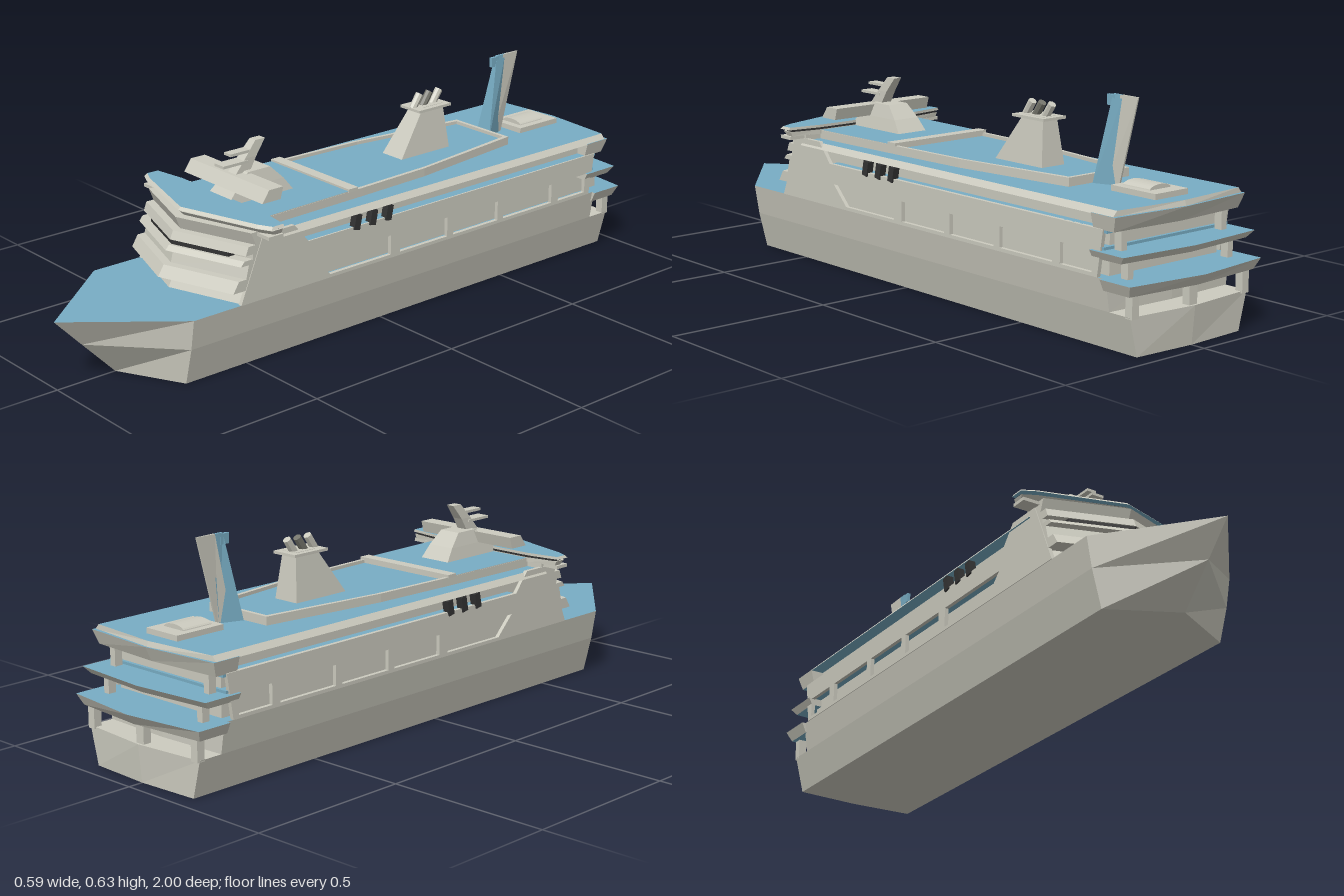
import * as THREE from 'three';

const mat = (color) => new THREE.MeshStandardMaterial({ color, flatShading: true, side: THREE.DoubleSide });
const grey = mat(0xcccbbf), blue = mat(0x78adc4), dark = mat(0x333333), shade = mat(0x77776e);

// mirror a half outline (front to back, x >= 0) into a closed ring at height y
function ring(y, half) {
  const left = half.filter((p) => p[0] > 0).reverse().map(([x, z]) => [-x, y, z]);
  return left.concat(half.map(([x, z]) => [x, y, z]));
}
const rectRing = (y, w, zFront, zBack, w2 = w) => ring(y, [[w, zFront], [w2, zBack]]);
// pointed outline used by the front tiers: centre, shoulder, back
const chevron = (y, w, centre, back, rake = 0.08) => ring(y, [[0, centre], [w, centre - rake], [w, back]]);
// outline of a deck whose stern comes to a shallow point
const sternRing = (y, w, zFront, corner, centre) => ring(y, [[w, zFront], [w, corner], [0, centre]]);

// skin a stack of rings and close both ends
function loft(name, rings, side = grey, cap = side) {
  const pos = [], n = rings[0].length;
  for (let r = 0; r < rings.length - 1; r++) {
    const a = rings[r], b = rings[r + 1];
    for (let i = 0; i < n; i++) {
      const j = (i + 1) % n;
      pos.push(...a[i], ...a[j], ...b[j], ...a[i], ...b[j], ...b[i]);
    }
  }
  const split = pos.length / 3;
  const close = (pts, up) => {
    const c = [0, 1, 2].map((k) => pts.reduce((s, p) => s + p[k], 0) / n);
    for (let i = 0; i < n; i++) {
      const j = (i + 1) % n;
      pos.push(...c, ...(up ? pts[i] : pts[j]), ...(up ? pts[j] : pts[i]));
    }
  };
  close(rings[0], false);
  close(rings[rings.length - 1], true);
  const g = new THREE.BufferGeometry();
  g.setAttribute('position', new THREE.Float32BufferAttribute(pos, 3));
  g.computeVertexNormals();
  g.addGroup(0, split, 0);
  g.addGroup(split, pos.length / 3 - split, 1);
  const m = new THREE.Mesh(g, [side, cap]);
  m.name = name;
  return m;
}

function box(name, x, y, z, w, h, d, material = grey) {
  const m = new THREE.Mesh(new THREE.BoxGeometry(w, h, d), material);
  m.position.set(x, y, z);
  m.name = name;
  return m;
}

// side wall drawn in (z, y), with the promenade openings cut out
function sideWall(s) {
  const v = (list) => list.map(([z, y]) => new THREE.Vector2(-z, y));
  const shape = new THREE.Shape(v([[0.55, 0.2], [0.47, 0.39], [0.36, 0.39], [0.31, 0.33], [-0.86, 0.33], [-0.84, 0.2]]));
  const openings = [[0.29, -0.0], [-0.035, -0.225], [-0.25, -0.435], [-0.46, -0.67], [-0.7, -0.82]];
  openings.forEach(([a, b], i) => shape.holes.push(
    new THREE.Path(v([[a, 0.27], [a - (i ? 0 : 0.06), 0.21], [b, 0.21], [b, 0.27]]))));
  const g = new THREE.ExtrudeGeometry(shape, { depth: 0.012, bevelEnabled: false });
  g.rotateY(Math.PI / 2);
  const m = new THREE.Mesh(g, grey);
  m.position.x = s > 0 ? 0.228 : -0.24;
  m.name = 'promenadeWall';
  return m;
}

export function createModel() {
  const ship = new THREE.Group();
  ship.name = 'ship';
  const add = (...m) => ship.add(...m);

  // hull, with an open mooring deck at the stern
  const hullRing = (y, w, tip, back, centre) => ring(y, [[0, tip], [w, 0.71], [w, back], [0, centre]]);
  add(loft('hullLower', [hullRing(0, 0.195, 0.81, -0.945, -0.955), hullRing(0.11, 0.223, 0.915, -0.945, -0.965)]));
  add(loft('hullUpper', [hullRing(0.11, 0.223, 0.915, -0.87, -0.88), hullRing(0.2, 0.238, 1, -0.87, -0.88)], grey, blue));
  add(loft('sternDeck', [sternRing(0.168, 0.236, -0.86, -0.955, -0.975), sternRing(0.2, 0.25, -0.86, -0.97, -1)], grey, blue));

  // inner house behind the promenades
  add(loft('innerHouse', [rectRing(0.2, 0.205, 0.5, -0.85), rectRing(0.37, 0.205, 0.42, -0.85)]));
  add(box('promenadeCeiling', 0, 0.278, -0.24, 0.47, 0.008, 1.24, blue));
  add(box('balconyDeck', 0, 0.325, -0.28, 0.47, 0.01, 1.18, blue));

  // stepped front: bottom y, top y, bottom and top centre z, width
  [[0.2, 0.24, 0.62, 0.6, 0.238], [0.24, 0.272, 0.655, 0.635, 0.238], [0.272, 0.312, 0.61, 0.6, 0.238],
    [0.312, 0.326, 0.627, 0.615, 0.238], [0.326, 0.34, 0.585, 0.585, 0.238],
    [0.34, 0.365, 0.61, 0.6, 0.238], [0.365, 0.402, 0.575, 0.59, 0.238]]
    .forEach(([y0, y1, c0, c1, w]) => add(loft('frontTier', [chevron(y0, w, c0, 0.43), chevron(y1, w, c1, 0.43)])));
  add(loft('frontWindow', [chevron(0.325, 0.18, 0.606, 0.45, 0.06), chevron(0.341, 0.18, 0.606, 0.45, 0.06)], dark));

  // stern decks, each with a bulwark pointing aft
  add(loft('lowerAftDeck', [sternRing(0.25, 0.238, -0.82, -0.925, -0.945), sternRing(0.272, 0.25, -0.82, -0.945, -0.965)], grey, blue));
  add(loft('upperAftDeck', [sternRing(0.328, 0.236, -0.82, -0.895, -0.91), sternRing(0.37, 0.246, -0.82, -0.91, -0.93)], grey, blue));

  for (const s of [1, -1]) {
    add(sideWall(s));
    // stern posts and mooring deck pillars
    add(box('sternPost', s * 0.19, 0.225, -0.9, 0.02, 0.06, 0.025));
    add(box('sternPost', s * 0.19, 0.3, -0.875, 0.02, 0.07, 0.025));
    add(box('mooringPillar', s * 0.21, 0.14, -0.94, 0.025, 0.07, 0.025));
    // dark slanted fins on the upper balcony
    for (const z of [0.13, 0.07, 0.01]) {
      const fin = box('balconyFin', s * 0.234, 0.343, z, 0.022, 0.045, 0.022, dark);
      fin.rotation.x = -0.2;
      add(fin);
    }
    // bridge wing supports
    add(box('wingSupport', s * 0.264, 0.395, 0.465, 0.052, 0.01, 0.05));
  }
  add(box('mooringPillar', 0, 0.14, -0.945, 0.03, 0.07, 0.025));

  // roof with sloping edge
  add(loft('roof', [sternRing(0.368, 0.245, 0.45, -0.9, -0.925), sternRing(0.385, 0.23, 0.45, -0.9, -0.92)], grey, blue));

  // raised top deck tapering aft, with a rim
  const plan = [[0.185, 0.42], [0.175, 0.05], [0.165, -0.2], [0.115, -0.6]];
  add(loft('topDeck', [ring(0.38, plan), ring(0.4, plan)], grey, blue));
  const outline = (d) => ring(0, plan.map(([x, z]) => [x - d, z < -0.5 ? z + d : z - d]))
    .map(([x, , z]) => new THREE.Vector2(x, -z));
  const rimShape = new THREE.Shape(outline(0));
  rimShape.holes.push(new THREE.Path(outline(0.012)));
  const rim = new THREE.Mesh(new THREE.ExtrudeGeometry(rimShape, { depth: 0.03, bevelEnabled: false }), grey);
  rim.rotation.x = -Math.PI / 2;
  rim.position.y = 0.38;
  rim.name = 'topDeckRim';
  add(rim);
  add(loft('forwardDeck', [rectRing(0.385, 0.185, 0.47, 0.075, 0.175), rectRing(0.412, 0.185, 0.47, 0.075, 0.175)], grey, blue));
  add(box('deckStep', 0, 0.413, 0.09, 0.355, 0.01, 0.035));

  // navigation bridge with wings
  const bridge = (y, w, c) => ring(y, [[0, c], [w - 0.04, c - 0.075], [w, c - 0.095], [w, 0.44], [0.19, 0.425]]);
  add(loft('bridgeBase', [bridge(0.4, 0.282, 0.56), bridge(0.414, 0.288, 0.572)]));
  add(loft('bridgeWindow', [bridge(0.414, 0.283, 0.562), bridge(0.42, 0.283, 0.562)], dark));
  add(loft('bridgeRoof', [bridge(0.42, 0.295, 0.58), bridge(0.428, 0.29, 0.572)], grey, blue));

  // radar mast
  add(loft('radarBase', [rectRing(0.41, 0.053, 0.45, 0.21), rectRing(0.45, 0.045, 0.41, 0.24), rectRing(0.49, 0.035, 0.36, 0.28)]));
  add(loft('radarCrossbar', [rectRing(0.45, 0.18, 0.425, 0.36), rectRing(0.485, 0.18, 0.4, 0.35)]));
  add(loft('radarMast', [rectRing(0.45, 0.019, 0.42, 0.36), rectRing(0.525, 0.017, 0.355, 0.315), rectRing(0.57, 0.013, 0.315, 0.28)]));
  add(box('radarArm', 0, 0.543, 0.36, 0.03, 0.008, 0.09), box('radarArm', 0, 0.515, 0.39, 0.04, 0.008, 0.09));

  // funnel with platform and exhaust pipes
  add(loft('funnel', [rectRing(0.4, 0.043, -0.22, -0.415), rectRing(0.54, 0.026, -0.32, -0.4)]));
  add(box('funnelPlatform', 0, 0.535, -0.355, 0.086, 0.008, 0.13));
  [-0.315, -0.355, -0.395].forEach((z, i) => {
    const pipe = new THREE.Mesh(new THREE.CylinderGeometry(0.012, 0.012, 0.05, 8), i === 1 ? shade : grey);
    pipe.position.set(0, 0.555, z);
    pipe.rotation.x = -0.6;
    pipe.name = 'exhaustPipe';
    add(pipe);
  });

  // tall raked fin: blue leading half, grey trailing half
  add(loft('finFront', [rectRing(0.37, 0.03, -0.6, -0.67, 0.004), rectRing(0.635, 0.004, -0.652, -0.69, 0.003)], blue));
  add(loft('finRear', [rectRing(0.37, 0.012, -0.63, -0.675, 0.003), rectRing(0.635, 0.004, -0.68, -0.745, 0.002)]));
  add(box('finHook', 0, 0.617, -0.645, 0.01, 0.03, 0.03, blue));

  // hatch house with a rounded cover
  add(box('hatchBase', 0, 0.392, -0.79, 0.124, 0.018, 0.165));
  const cover = new THREE.Mesh(new THREE.CylinderGeometry(0.04, 0.04, 0.1, 12, 1, false, 0, Math.PI), grey);
  cover.rotation.set(Math.PI / 2, -Math.PI / 2, 0, 'YXZ');
  cover.geometry.rotateY(-Math.PI / 2);
  cover.geometry.rotateX(Math.PI / 2);
  cover.rotation.set(0, 0, 0);
  cover.geometry.computeBoundingBox();
  if (cover.geometry.boundingBox.min.y < -0.03) cover.geometry.rotateZ(Math.PI);
  cover.scale.y = 0.35;
  cover.position.set(0, 0.4, -0.78);
  cover.name = 'hatchCover';
  add(cover);

  return ship;
}
